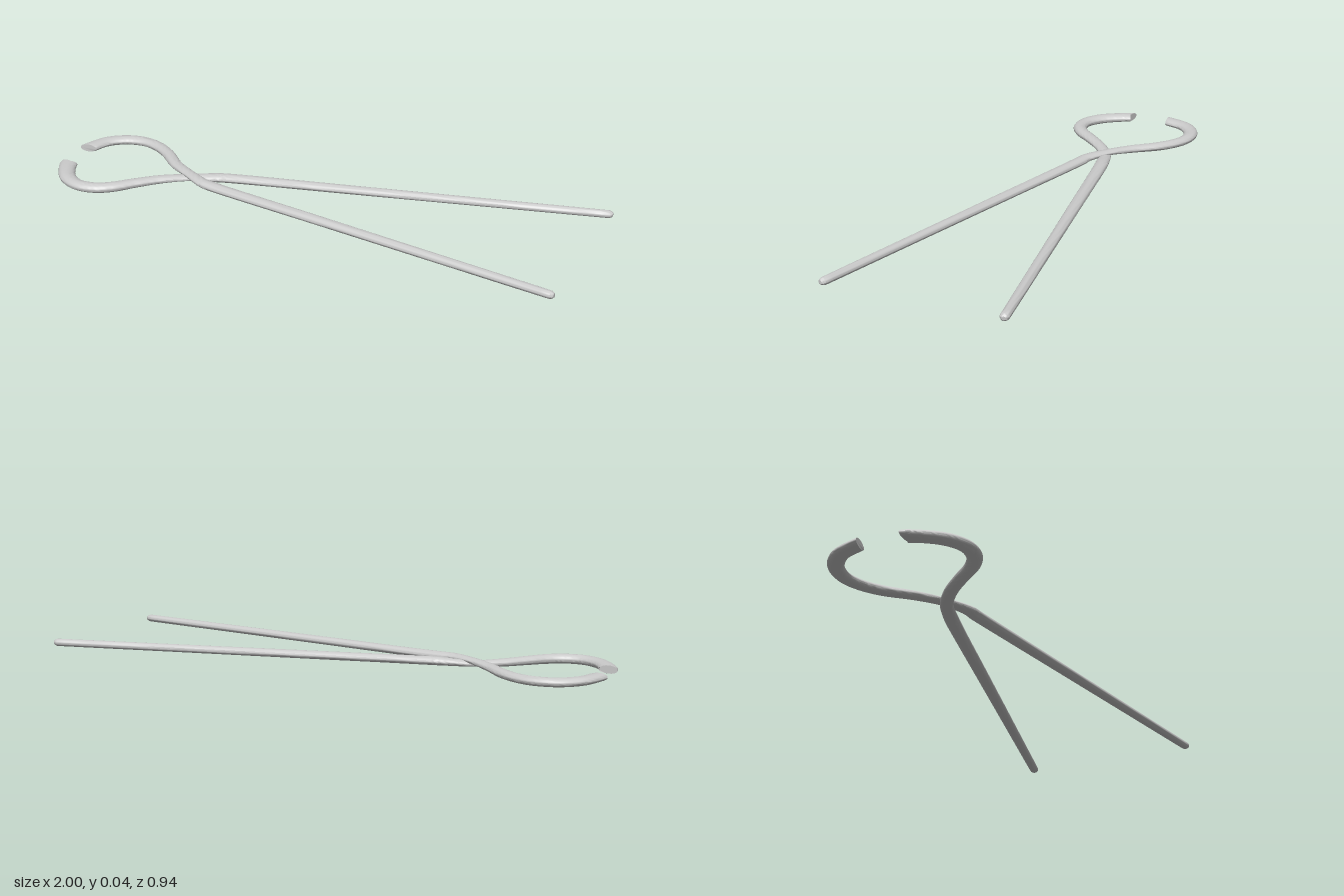
import * as THREE from 'three';
import { toCreasedNormals } from 'three/addons/utils/BufferGeometryUtils.js';

const SIDES = 20, STEPS = 7;

// Sweeps an oval section along rows of [x, z, y, half width, half height].
// cut: sideways direction [x, z] of the end face at the hook.
function sweptRod(rows, cut) {
  const curve = new THREE.CatmullRomCurve3(
    rows.map(([x, z, y]) => new THREE.Vector3(x, y, z)), false, 'centripetal');
  const spans = rows.length - 1, rings = spans * STEPS;
  const pos = [], index = [];
  for (let i = 0; i <= rings; i++) {
    const t = i / rings;
    const k = Math.min(Math.floor(t * spans), spans - 1), f = t * spans - k;
    const p = curve.getPoint(t), d = curve.getTangent(t);
    const side = new THREE.Vector3(-d.z, 0, d.x).normalize();
    if (i === rings) side.set(cut[0], 0, cut[1]).normalize();
    const rx = THREE.MathUtils.lerp(rows[k][3], rows[k + 1][3], f);
    const ry = THREE.MathUtils.lerp(rows[k][4], rows[k + 1][4], f);
    for (let j = 0; j < SIDES; j++) {
      const a = j / SIDES * Math.PI * 2, c = Math.cos(a) * rx;
      pos.push(p.x + side.x * c, p.y + Math.sin(a) * ry, p.z + side.z * c);
    }
  }
  for (let i = 0; i < rings; i++) {
    for (let j = 0; j < SIDES; j++) {
      const a = i * SIDES + j, b = i * SIDES + (j + 1) % SIDES;
      index.push(a, a + SIDES, b, b, a + SIDES, b + SIDES);
    }
  }
  // flat end faces
  const last = rings * SIDES;
  for (let j = 1; j < SIDES - 1; j++) {
    index.push(0, j, j + 1, last, last + j + 1, last + j);
  }
  const g = new THREE.BufferGeometry();
  g.setAttribute('position', new THREE.Float32BufferAttribute(pos, 3));
  g.setIndex(index);
  return toCreasedNormals(g, 0.7);
}

// Straight tapering handle with a rounded tip, ending short of the bend.
function handle(tip, bend, yTip, yBend) {
  const length = Math.hypot(bend[0] - tip[0], bend[1] - tip[1]);
  const stations = [[0, 0.007, 0.006], [0.004, 0.012, 0.010], [0.014, 0.016, 0.013],
    [0.45, 0.019, 0.0135], [0.9, 0.022, 0.014], [length - 0.04, 0.025, 0.0145]];
  return stations.map(([s, rx, ry]) => {
    const f = s / length;
    return [tip[0] + (bend[0] - tip[0]) * f, tip[1] + (bend[1] - tip[1]) * f,
      yTip + (yBend - yTip) * f, rx, ry];
  });
}

export function createModel() {
  const group = new THREE.Group();
  group.name = 'tongs';
  const material = new THREE.MeshStandardMaterial({ color: 0xcccccc });
  const add = (name, rows, cut) => {
    const mesh = new THREE.Mesh(sweptRod(rows, cut), material);
    mesh.name = name;
    group.add(mesh);
  };

  // Arm whose handle runs straight along x; passes over at the crossing
  add('upperArm', [
    ...handle([1, 0.158], [-0.415, 0.176], 0.023, 0.024),
    [-0.415, 0.175, 0.026, 0.024, 0.013],
    [-0.505, 0.146, 0.028, 0.021, 0.010],
    [-0.60, 0.106, 0.023, 0.022, 0.013],
    [-0.70, 0.043, 0.020, 0.023, 0.015],
    [-0.773, 0.014, 0.019, 0.024, 0.015],
    [-0.837, 0.008, 0.019, 0.025, 0.015],
    [-0.906, 0.034, 0.019, 0.027, 0.015],
    [-0.955, 0.095, 0.020, 0.029, 0.015],
    [-0.968, 0.183, 0.021, 0.031, 0.014],
  ], [-0.95, 0.31]);

  // Arm whose handle splays to the back; passes under at the crossing
  add('lowerArm', [
    ...handle([0.868, -0.465], [-0.414, 0.10], 0.027, 0.022),
    [-0.414, 0.102, 0.021, 0.025, 0.014],
    [-0.505, 0.155, 0.016, 0.022, 0.010],
    [-0.57, 0.222, 0.016, 0.023, 0.013],
    [-0.622, 0.305, 0.017, 0.024, 0.015],
    [-0.664, 0.378, 0.017, 0.025, 0.0165],
    [-0.709, 0.42, 0.017, 0.026, 0.0165],
    [-0.773, 0.437, 0.017, 0.027, 0.0165],
    [-0.842, 0.415, 0.017, 0.029, 0.0165],
    [-0.896, 0.367, 0.018, 0.030, 0.0155],
    [-0.928, 0.326, 0.019, 0.033, 0.014],
  ], [1, -0.05]);

  return group;
}
